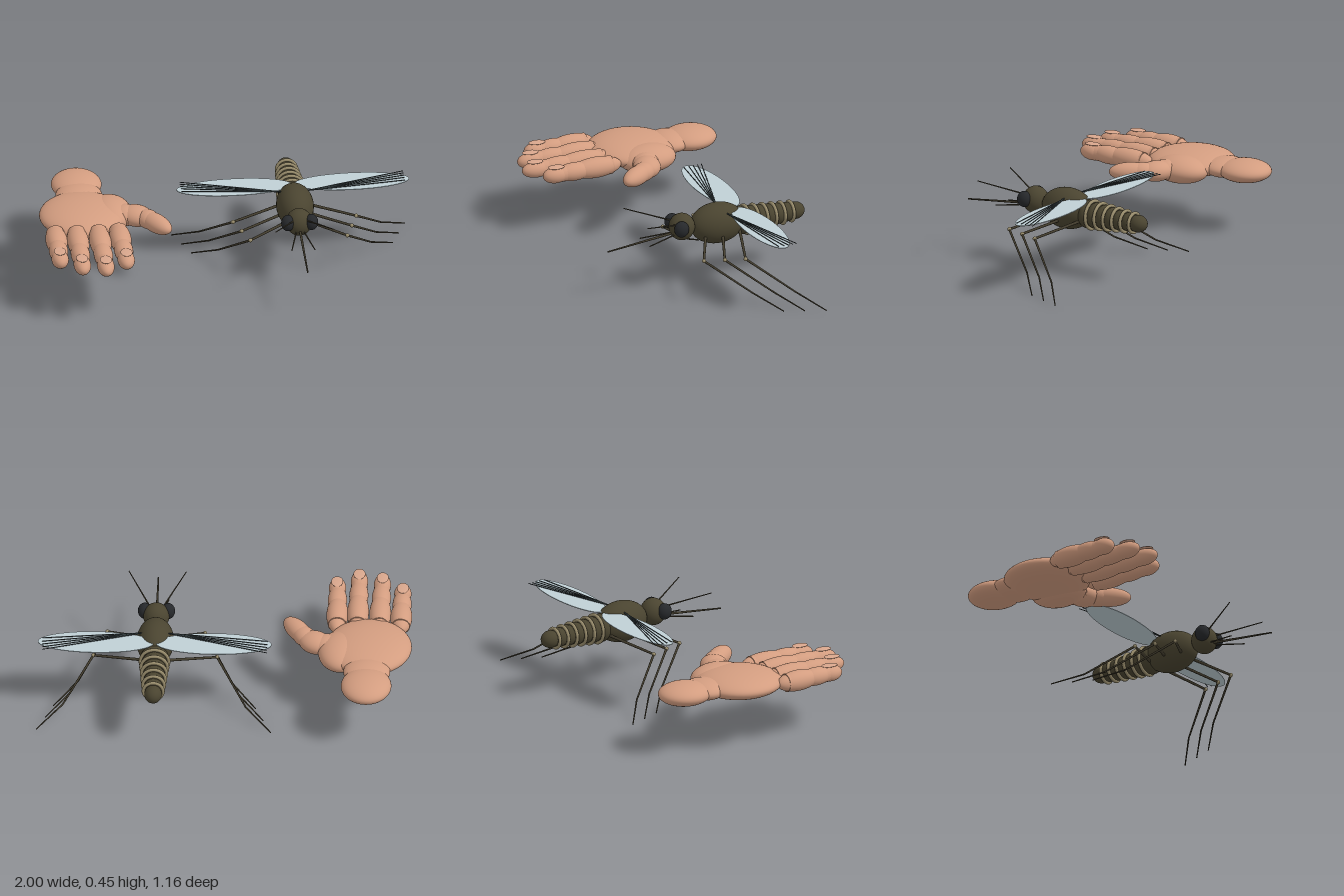
import * as THREE from 'three';

const material = (name, color) => {
  const m = new THREE.MeshStandardMaterial({ color });
  m.name = name;
  return m;
};

export function createModel() {
  const skin = material('skin', 0xd39d80);
  const nailPink = material('nail', 0xd8a68c);
  const olive = material('body olive', 0x4a4430);
  const eyeDark = material('eye dark', 0x26282b);
  const legBrown = material('leg brown', 0x423c2d);
  const bandTan = material('band tan', 0x978b6b);
  const wingGrey = material('wing grey', 0xbfcfd5);
  const veinDark = material('vein dark', 0x2f383a);

  const ball = new THREE.SphereGeometry(1, 40, 28);
  const add = (parent, name, geometry, mat) => {
    const mesh = new THREE.Mesh(geometry, mat);
    mesh.name = name;
    parent.add(mesh);
    return mesh;
  };
  const ellipsoid = (parent, name, mat, pos, size, turn = 0) => {
    const mesh = add(parent, name, ball, mat);
    mesh.position.set(...pos);
    mesh.scale.set(...size);
    mesh.rotation.y = turn;
    return mesh;
  };
  // Tapered rod between two points
  const rod = (parent, name, mat, from, to, r0, r1) => {
    const a = new THREE.Vector3(...from), b = new THREE.Vector3(...to);
    const dir = b.clone().sub(a);
    const mesh = add(parent, name, new THREE.CylinderGeometry(r1, r0, dir.length(), 16), mat);
    mesh.position.copy(a).addScaledVector(dir, 0.5);
    mesh.quaternion.setFromUnitVectors(new THREE.Vector3(0, 1, 0), dir.normalize());
    return mesh;
  };
  const group = (parent, name) => {
    const g = new THREE.Group();
    g.name = name;
    parent.add(g);
    return g;
  };

  const model = new THREE.Group();
  model.name = 'handAndMosquito';

  // ---- Hand: wrist, palm, thumb and four fingers ----
  const hand = group(model, 'hand');
  ellipsoid(hand, 'wrist', skin, [-0.765, 0.335, -0.435], [0.135, 0.06, 0.148]);
  ellipsoid(hand, 'wristNeck', skin, [-0.765, 0.335, -0.31], [0.125, 0.052, 0.12]);
  ellipsoid(hand, 'palm', skin, [-0.77, 0.335, -0.09], [0.23, 0.07, 0.235]);
  ellipsoid(hand, 'thumbBase', skin, [-0.62, 0.325, -0.12], [0.12, 0.073, 0.16]);
  ellipsoid(hand, 'thumbBridge', skin, [-0.545, 0.332, -0.075], [0.085, 0.055, 0.075], -0.4);
  ellipsoid(hand, 'thumbMiddle', skin, [-0.485, 0.335, -0.055], [0.095, 0.055, 0.075], -0.5);
  ellipsoid(hand, 'thumbJoint', skin, [-0.425, 0.337, -0.005], [0.058, 0.05, 0.08], 0.6);
  ellipsoid(hand, 'thumbTip', skin, [-0.39, 0.338, 0.045], [0.055, 0.05, 0.118], 0.6);

  // Each finger: base x, tip x, tip z
  const fingers = [[-0.935, -0.94, 0.455], [-0.82, -0.83, 0.545], [-0.705, -0.705, 0.575], [-0.598, -0.588, 0.505]];
  fingers.forEach(([x0, x1, end]) => {
    const finger = group(hand, 'finger');
    const start = 0.06, length = end - start;
    const along = (t) => [x0 + (x1 - x0) * t, 0.335, start + length * t];
    rod(finger, 'fingerCore', skin, along(0.1), along(0.84), 0.05, 0.042);
    // Knuckle segments: centre and half length along the finger, radius
    [[0.3, 0.33, 0.058], [0.59, 0.25, 0.051], [0.83, 0.17, 0.046]].forEach(([t, half, r]) => {
      ellipsoid(finger, 'fingerSegment', skin, along(t), [r, r * 0.96, length * half]);
    });
    ellipsoid(finger, 'nail', nailPink, [x1, 0.38, end - 0.075], [0.032, 0.005, 0.046]);
  });

  // ---- Mosquito, centred on its own x axis ----
  const insect = group(model, 'mosquito');
  insect.position.x = 0.369;
  ellipsoid(insect, 'thorax', olive, [0, 0.338, -0.07], [0.1, 0.112, 0.153]);
  ellipsoid(insect, 'head', olive, [0, 0.351, 0.137], [0.07, 0.074, 0.07]);

  // Abdomen segments with a pale band at each joint
  for (let i = 0; i < 7; i++) {
    const r = 0.077 - i * 0.005;
    ellipsoid(insect, 'abdomenSegment', olive, [0, 0.327, -0.21 - i * 0.053], [r, r, 0.053]);
    if (i < 6) {
      const band = add(insect, 'abdomenBand', new THREE.TorusGeometry(0.076 - i * 0.0046, 0.009, 12, 40), bandTan);
      band.position.set(0, 0.327, -0.236 - i * 0.053);
    }
  }

  // Proboscis
  rod(insect, 'proboscis', legBrown, [0, 0.325, 0.17], [0, 0.281, 0.573], 0.007, 0.004);

  // Leg pairs: hip, knee, ankle and foot as [x, y, z]
  const legs = [
    [[0.05, 0.293, 0.02], [0.26, 0.249, 0.128], [0.41, 0.082, -0.09], [0.54, 0.004, -0.213]],
    [[0.05, 0.293, -0.08], [0.295, 0.249, 0.021], [0.45, 0.082, -0.197], [0.582, 0.004, -0.317]],
    [[0.05, 0.293, -0.18], [0.33, 0.249, -0.085], [0.488, 0.082, -0.303], [0.626, 0.004, -0.423]],
  ];

  for (const s of [1, -1]) {
    const side = s > 0 ? 'left' : 'right';
    const flip = ([x, y, z]) => [s * x, y, z];

    ellipsoid(insect, side + 'Eye', eyeDark, [s * 0.063, 0.363, 0.167], [0.036, 0.044, 0.04]);
    rod(insect, side + 'Antenna', legBrown, flip([0.04, 0.383, 0.19]), flip([0.153, 0.445, 0.408]), 0.004, 0.0025);
    rod(insect, side + 'Palp', legBrown, flip([0.018, 0.32, 0.18]), flip([0.062, 0.297, 0.355]), 0.004, 0.003);

    legs.forEach((points) => {
      const leg = group(insect, side + 'Leg');
      const [hip, knee, ankle, foot] = points.map(flip);
      rod(leg, 'upperLeg', legBrown, hip, knee, 0.008, 0.0065);
      ellipsoid(leg, 'knee', bandTan, knee, [0.011, 0.011, 0.011]);
      rod(leg, 'lowerLeg', legBrown, knee, ankle, 0.0065, 0.0045);
      rod(leg, 'foot', legBrown, ankle, foot, 0.0045, 0.003);
    });

    // Flat oval wing with thin veins fanning out over the top
    const wing = group(insect, side + 'Wing');
    const blade = add(wing, 'wingBlade', new THREE.CylinderGeometry(1, 1, 0.004, 56), wingGrey);
    blade.position.set(s * 0.315, 0.407, -0.18);
    blade.scale.set(0.308, 1, 0.093);
    [-0.258, -0.235, -0.21, -0.185, -0.155].forEach((z) => {
      rod(wing, 'wingVein', veinDark, flip([0.06, 0.411, -0.095]), flip([0.6, 0.412, z]), 0.0026, 0.0022);
    });
  }

  return model;
}
